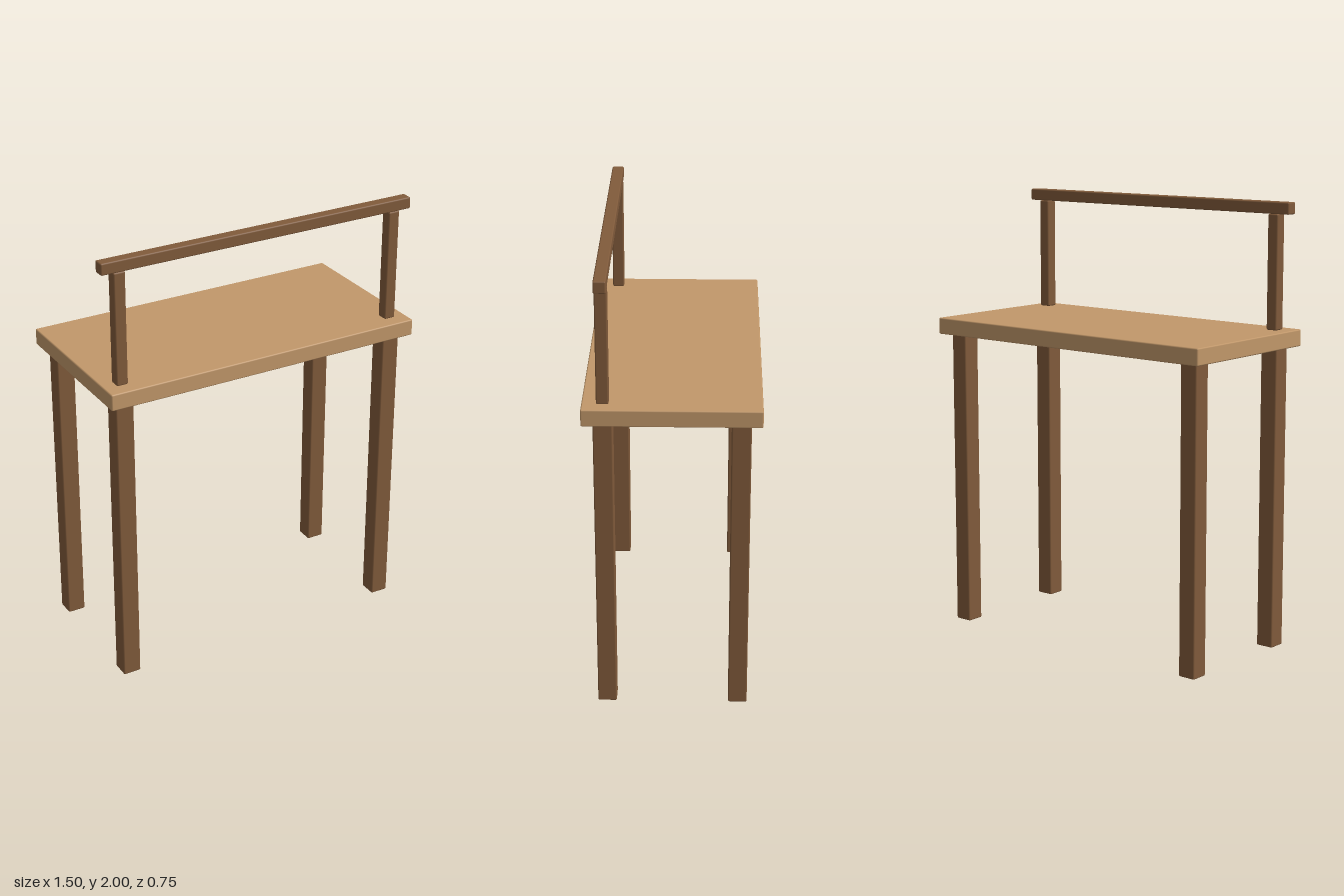
import * as THREE from 'three';
import { RoundedBoxGeometry } from 'three/addons/geometries/RoundedBoxGeometry.js';

export function createModel() {
  const group = new THREE.Group();
  group.name = 'tableWithRail';

  const lightWood = new THREE.MeshStandardMaterial({ color: 0xc2986a });
  lightWood.name = 'lightWood';
  const darkWood = new THREE.MeshStandardMaterial({ color: 0x815b3b });
  darkWood.name = 'darkWood';

  // Beam with slightly chamfered edges, standing on height y0
  function beam(name, material, [w, h, d], [x, y0, z]) {
    const mesh = new THREE.Mesh(new RoundedBoxGeometry(w, h, d, 1, 0.006), material);
    mesh.name = name;
    mesh.position.set(x, y0 + h / 2, z);
    group.add(mesh);
  }

  const legX = 0.6675, legZ = 0.2875;
  const topY = 1.365, topThickness = 0.075;
  const surfaceY = topY + topThickness;
  const railSize = 0.0525;

  // Table top
  beam('tableTop', lightWood, [1.5, topThickness, 0.75], [0, topY, 0]);

  for (const [side, sx] of [['left', 1], ['right', -1]]) {
    // Legs
    for (const [end, sz] of [['Front', 1], ['Back', -1]]) {
      beam(`${side}${end}Leg`, darkWood, [0.0825, topY, 0.0825], [sx * legX, 0, sz * legZ]);
    }
    // Rail post above the front legs
    beam(`${side}RailPost`, darkWood, [railSize, 2 - railSize - surfaceY, railSize],
      [sx * legX, surfaceY, legZ]);
  }

  // Rail across the posts
  beam('rail', darkWood, [1.5, railSize, railSize], [0, 2 - railSize, legZ]);

  return group;
}
